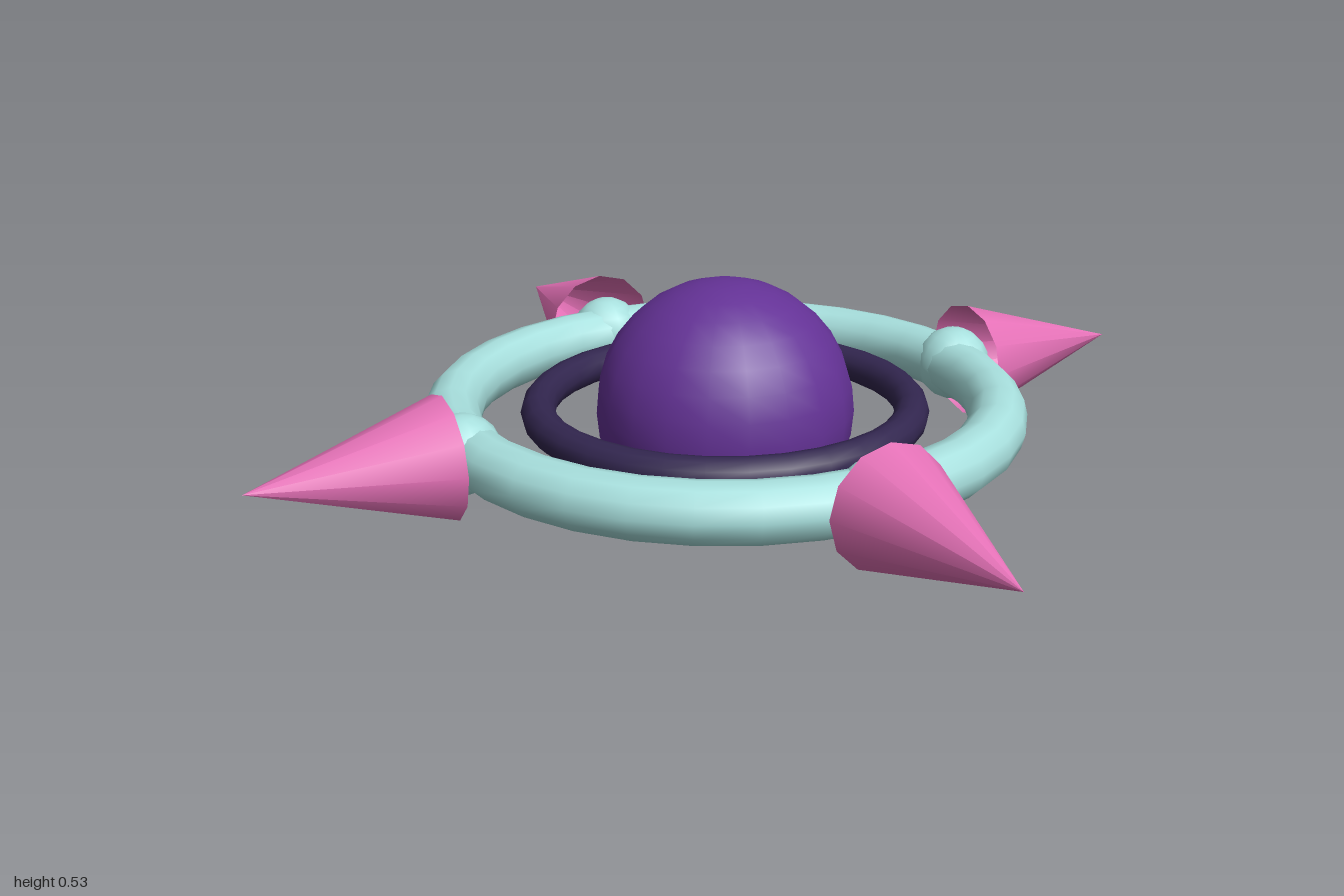
import * as THREE from 'three';

export function createModel() {
  const model = new THREE.Group();
  const Y = 0.267; // height of the shared centre plane

  const mat = (name, color, side = THREE.FrontSide) => {
    const m = new THREE.MeshStandardMaterial({ color, side });
    m.name = name;
    return m;
  };
  const purple = mat('purple', 0x643296);
  const darkViolet = mat('darkViolet', 0x32264f);
  const mint = mat('mint', 0xa8e0de);
  const pink = mat('pink', 0xe672b8, THREE.DoubleSide);

  const add = (name, geometry, material, parent = model) => {
    const mesh = new THREE.Mesh(geometry, material);
    mesh.name = name;
    parent.add(mesh);
    return mesh;
  };

  // Central ball
  add('core', new THREE.SphereGeometry(0.267, 20, 16), purple).position.y = Y;

  // Two flat concentric rings
  const ring = (name, radius, tube, material) => {
    const geometry = new THREE.TorusGeometry(radius, tube, 12, 32).rotateX(Math.PI / 2);
    add(name, geometry, material).position.y = Y;
  };
  ring('innerRing', 0.385, 0.036, darkViolet);
  ring('outerRing', 0.56, 0.06, mint);

  // Four spikes, each with a ball joint on the outer ring
  const jointGeo = new THREE.SphereGeometry(0.08, 12, 10).translate(0.575, 0, 0);
  const spikeGeo = new THREE.ConeGeometry(0.125, 0.39, 12, 1, true)
    .rotateZ(-Math.PI / 2)
    .translate(0.805, 0, 0);
  ['left', 'back', 'right', 'front'].forEach((side, i) => {
    const arm = new THREE.Group();
    arm.name = side + 'Arm';
    arm.position.y = Y;
    arm.rotation.y = (i * Math.PI) / 2;
    add(side + 'Joint', jointGeo, mint, arm);
    add(side + 'Spike', spikeGeo, pink, arm);
    model.add(arm);
  });

  return model;
}
